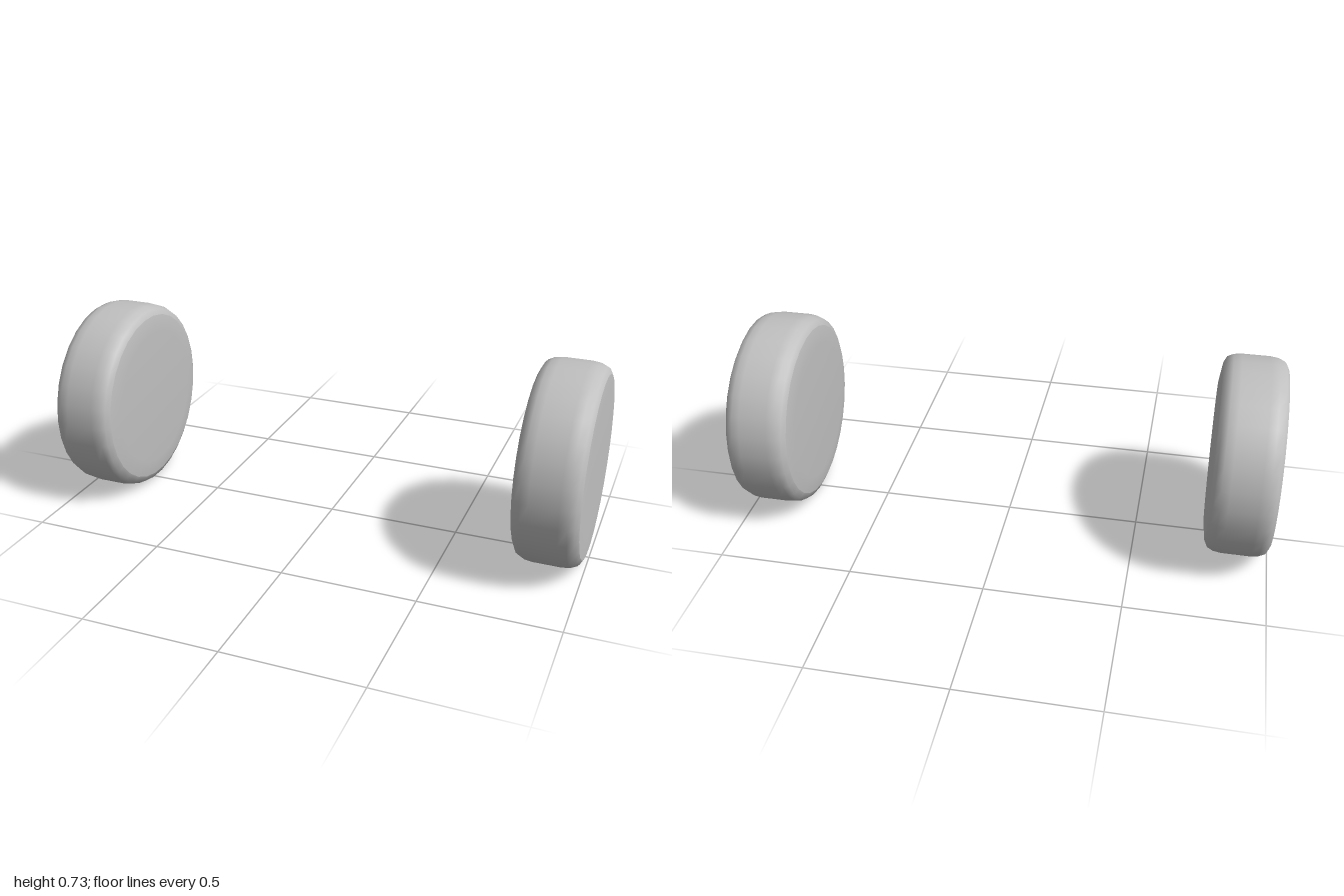
import * as THREE from 'three';

const SEGMENTS = 30;
const RADIUS = 0.367;
const CENTRE_Y = RADIUS * Math.cos(Math.PI / SEGMENTS); // rests on a flat facet

// Profiles as [radius, distance from the model's middle], from inside to outside
const PROFILES = {
  innerFace: [[0, 0.755], [0.265, 0.755], [0.33, 0.765]],
  tread: [
    [0.33, 0.765], [0.352, 0.776], [0.363, 0.798], [0.367, 0.828],
    [0.367, 0.93], [0.363, 0.96], [0.352, 0.984], [0.33, 0.996],
  ],
  outerFace: [[0.33, 0.996], [0.265, 1], [0, 1]],
};

export function createModel() {
  const model = new THREE.Group();
  model.name = 'wheelPair';
  const grey = new THREE.MeshStandardMaterial({ color: 0xc0c0c0 });
  grey.name = 'light grey';

  // Each part is its own lathe, so the rims stay sharp and the tread smooth
  const geometries = Object.entries(PROFILES).map(([name, points]) => [
    name,
    new THREE.LatheGeometry(points.map(([r, d]) => new THREE.Vector2(r, d)), SEGMENTS),
  ]);

  // Left wheel on +x, right wheel on -x
  for (const [name, side] of [['leftWheel', 1], ['rightWheel', -1]]) {
    const wheel = new THREE.Group();
    wheel.name = name;
    for (const [part, geometry] of geometries) {
      const mesh = new THREE.Mesh(geometry, grey);
      mesh.name = part;
      wheel.add(mesh);
    }
    wheel.rotation.z = -side * Math.PI / 2;
    wheel.position.y = CENTRE_Y;
    model.add(wheel);
  }
  return model;
}
